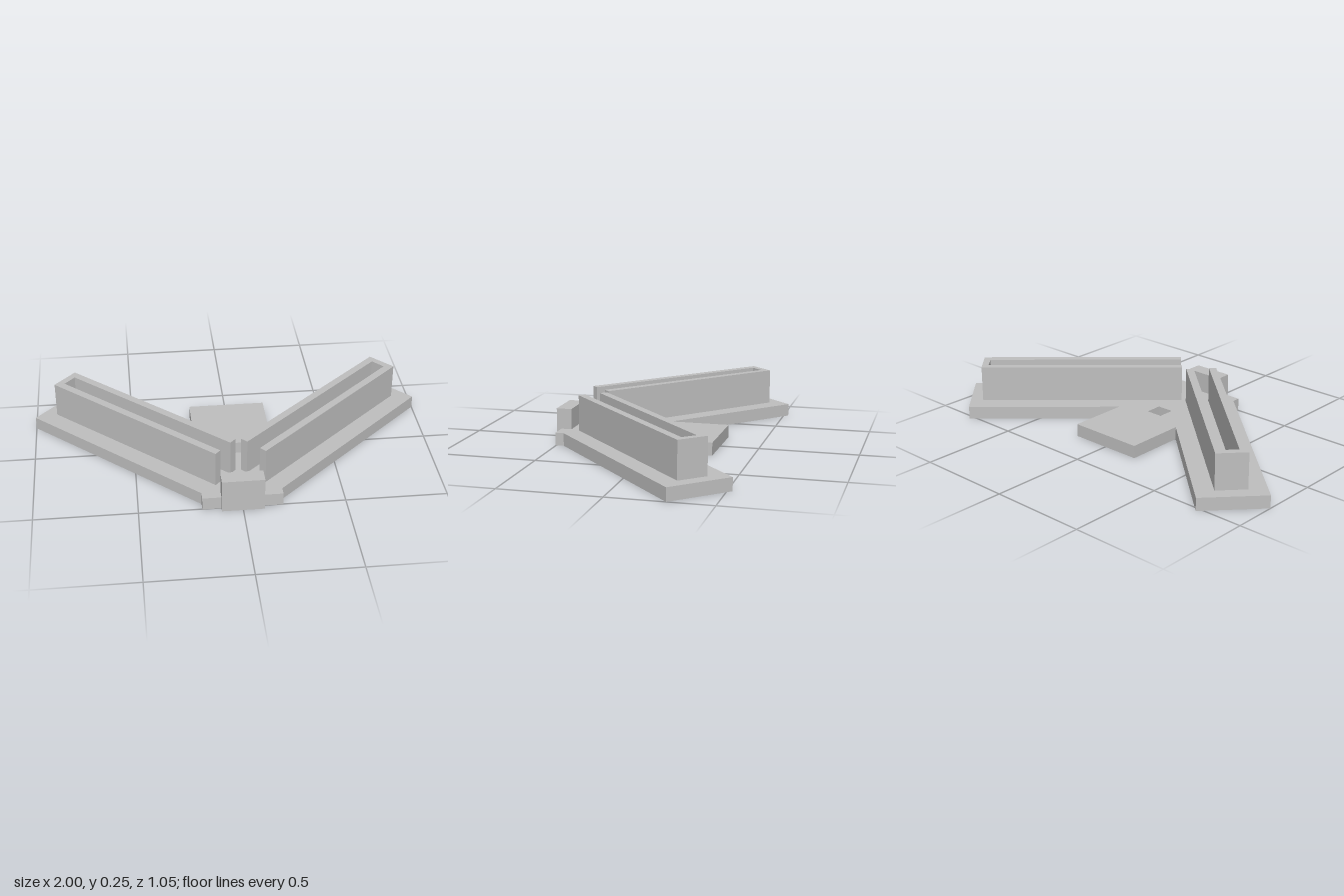
import * as THREE from 'three';

// Turns plan points [x, z] into a vector list for an upward extrusion
const plan = (pts) => pts.map(([x, z]) => new THREE.Vector2(x, -z));
const mirror = (pts) => pts.map(([x, z]) => [-x, z]).reverse();

function slab(name, pts, y0, y1, material, hole) {
  const shape = new THREE.Shape(plan(pts));
  if (hole) shape.holes.push(new THREE.Path(plan(hole)));
  const geometry = new THREE.ExtrudeGeometry(shape, { depth: y1 - y0, bevelEnabled: false });
  geometry.rotateX(-Math.PI / 2).translate(0, y0, 0);
  const mesh = new THREE.Mesh(geometry, material);
  mesh.name = name;
  return mesh;
}

export function createModel() {
  const group = new THREE.Group();
  group.name = 'angledBracket';
  const grey = new THREE.MeshStandardMaterial({ color: 0xbfbfbf });
  grey.name = 'grey';

  const baseTop = 0.065;

  // Base plate: two swept arms, a rear tab and a square hole
  const half = [[0.195, 0.503], [0.195, 0.46], [1, -0.282], [0.77, -0.525], [0.195, 0], [0.195, -0.305]];
  const hole = [[-0.044, 0.055], [0.044, 0.055], [0.044, 0.142], [-0.044, 0.142]];
  group.add(slab('basePlate', [...half, ...mirror(half)], 0, baseTop, grey, hole));

  // U-shaped channel walls on each arm, open towards the front
  const channel = [
    [0.121, 0.402], [0.889, -0.303], [0.785, -0.415], [0.014, 0.287],
    [0.041, 0.315], [0.786, -0.365], [0.837, -0.308], [0.095, 0.374],
  ];
  group.add(slab('leftChannel', channel, baseTop, 0.248, grey));
  group.add(slab('rightChannel', mirror(channel), baseTop, 0.248, grey));

  // Upright stop at the front
  const stop = new THREE.Mesh(new THREE.BoxGeometry(0.206, 0.17, 0.078), grey);
  stop.name = 'frontStop';
  stop.position.set(0, 0.085, 0.488);
  group.add(stop);

  return group;
}
